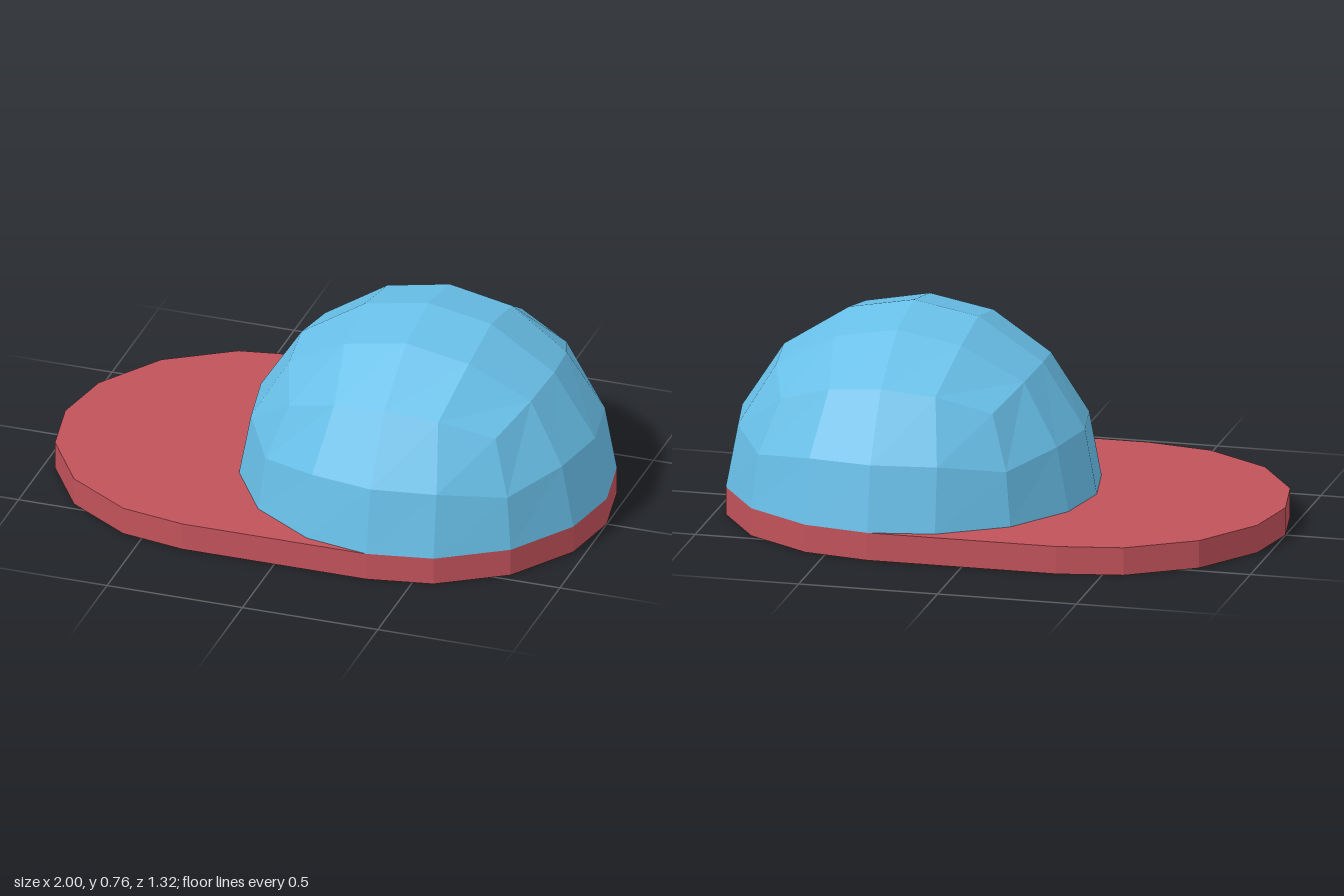
import * as THREE from 'three';

const R = 0.66, OFFSET = 0.34, BASE = 0.1;

// Half dome made from a 4x4x4 cube whose vertices are pushed out to a sphere
function domeGeometry() {
  const box = new THREE.BoxGeometry(2, 2, 2, 4, 4, 4).toNonIndexed();
  const pos = box.attributes.position;
  const kept = [];
  const v = new THREE.Vector3();
  // Spacing of the inner grid lines widens slightly towards the cube edges
  const inner = (other) => (other > 0.9 ? 0.43 : other > 0.4 ? 0.4 : 0.378);
  for (let t = 0; t < pos.count; t += 3) {
    const ys = [0, 1, 2].map((i) => pos.getY(t + i));
    if (Math.min(...ys) < -0.01) continue;
    for (let i = 0; i < 3; i++) {
      const c = [pos.getX(t + i), pos.getY(t + i), pos.getZ(t + i)];
      const a = c.map(Math.abs);
      const face = a.findIndex((n) => n > 0.9);
      const warped = c.map((n, k) => {
        if (Math.abs(a[k] - 0.5) > 0.1) return n;
        const other = a[3 - face - k];
        return Math.sign(n) * inner(other);
      });
      v.fromArray(warped).setLength(R);
      kept.push(v.x, v.y, v.z);
    }
  }
  const geo = new THREE.BufferGeometry();
  geo.setAttribute('position', new THREE.Float32BufferAttribute(kept, 3));
  geo.computeVertexNormals();
  return geo;
}

// Flat plate: two faceted half circles joined by straight sides
function plateGeometry() {
  const step = Math.atan(0.378);
  const angles = [0, step, Math.PI / 4, Math.PI / 2 - step];
  const quarter = [...angles, Math.PI / 2];
  const half = [
    ...quarter.map((a) => a - Math.PI / 2),
    ...quarter.slice(1),
  ];
  const points = [];
  for (const side of [1, -1]) {
    for (const a of half) {
      points.push(new THREE.Vector2(side * (OFFSET + R * Math.cos(a)), side * R * Math.sin(a)));
    }
  }
  const geo = new THREE.ExtrudeGeometry(new THREE.Shape(points), { depth: BASE, bevelEnabled: false });
  geo.rotateX(-Math.PI / 2);
  return geo;
}

export function createModel() {
  const group = new THREE.Group();

  const plate = new THREE.Mesh(
    plateGeometry(),
    new THREE.MeshStandardMaterial({ color: 0xc1525a, flatShading: true }),
  );
  plate.name = 'brim';
  group.add(plate);

  const dome = new THREE.Mesh(
    domeGeometry(),
    new THREE.MeshStandardMaterial({ color: 0x68bfe8, flatShading: true, side: THREE.DoubleSide }),
  );
  dome.name = 'crown';
  dome.position.set(OFFSET, BASE, 0);
  group.add(dome);

  return group;
}
